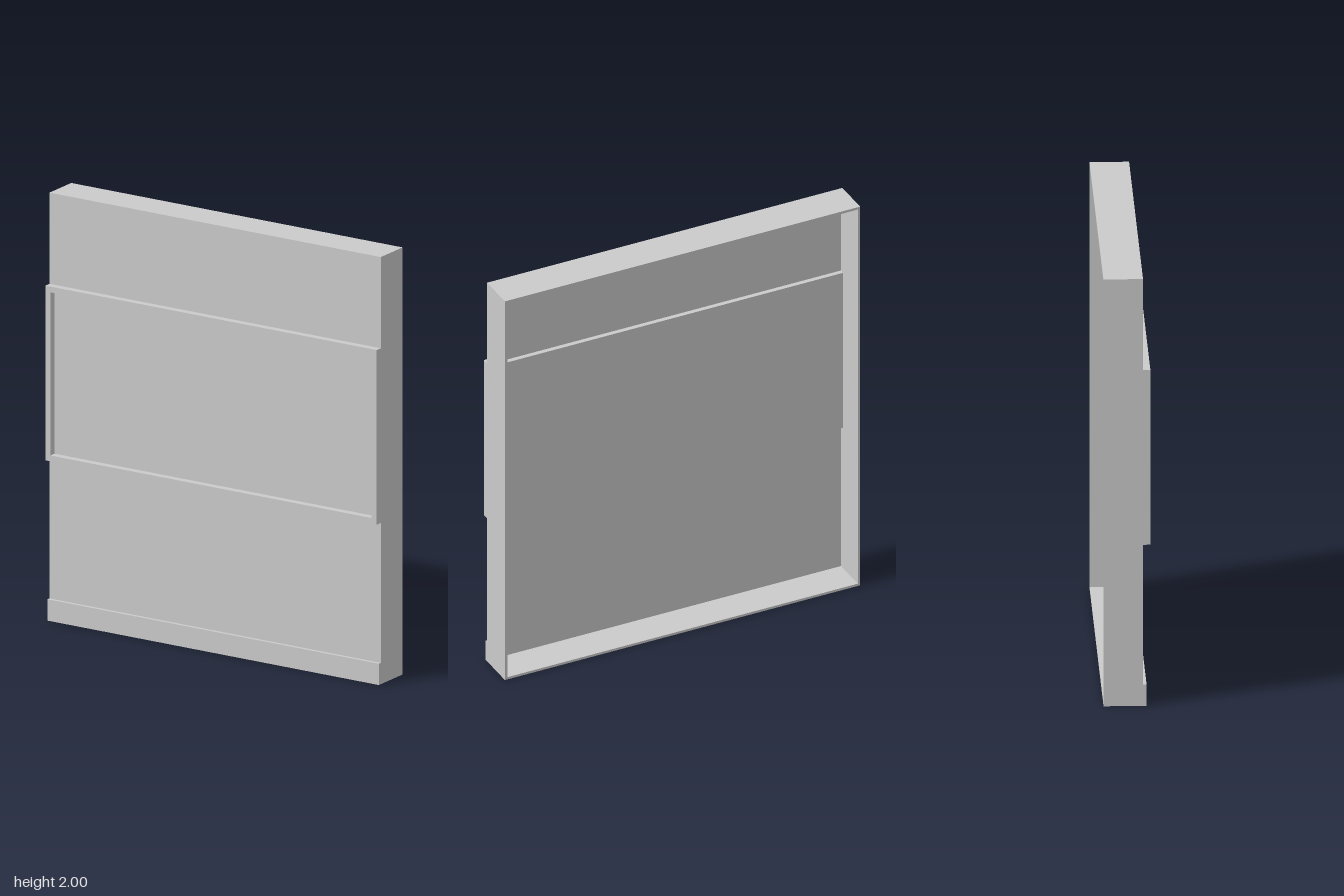
import * as THREE from 'three';

const W = 1.78, H = 2, BACK = -0.105, FRONT = 0.072, WALL = 0.012;
const WIN_LOW = 0.755, WIN_HIGH = 1.573, RIM = 0.027;

export function createModel() {
  const group = new THREE.Group();
  const material = new THREE.MeshStandardMaterial({ color: 0xcccccc });

  function add(name, geometry) {
    const mesh = new THREE.Mesh(geometry, material);
    mesh.name = name;
    group.add(mesh);
    return mesh;
  }

  // Box given by its extents
  function box(name, x0, x1, y0, y1, z0, z1) {
    add(name, new THREE.BoxGeometry(x1 - x0, y1 - y0, z1 - z0))
      .position.set((x0 + x1) / 2, (y0 + y1) / 2, (z0 + z1) / 2);
  }

  // Rectangular ring extruded along z
  function ring(name, y0, y1, rim, z0, z1) {
    const rect = (Type, inset) => new Type([
      new THREE.Vector2(-W / 2 + inset, y0 + inset),
      new THREE.Vector2(W / 2 - inset, y0 + inset),
      new THREE.Vector2(W / 2 - inset, y1 - inset),
      new THREE.Vector2(-W / 2 + inset, y1 - inset),
    ]);
    const shape = rect(THREE.Shape, 0);
    shape.holes.push(rect(THREE.Path, rim));
    const geometry = new THREE.ExtrudeGeometry(shape, { depth: z1 - z0, bevelEnabled: false });
    add(name, geometry).position.z = z0;
  }

  // Thin outer walls, open at the back
  ring('outerWalls', 0, H, WALL, BACK, FRONT);

  // Front skins below and above the window
  const inner = W / 2 - WALL;
  box('lowerPanel', -inner, inner, WALL, WIN_LOW, FRONT - 0.01, FRONT);
  box('upperPanel', -inner, inner, WIN_HIGH, H - WALL, FRONT - 0.01, FRONT);

  // Raised window surround with a recessed pane that steps in behind the skins
  ring('windowFrame', WIN_LOW, WIN_HIGH, RIM, FRONT, 0.105);
  box('windowPane', -inner, inner, WIN_LOW, WIN_HIGH, 0.04, FRONT - 0.002);

  // Skirting strip along the foot
  box('skirting', -W / 2, W / 2, 0, 0.1, FRONT, 0.088);

  return group;
}
